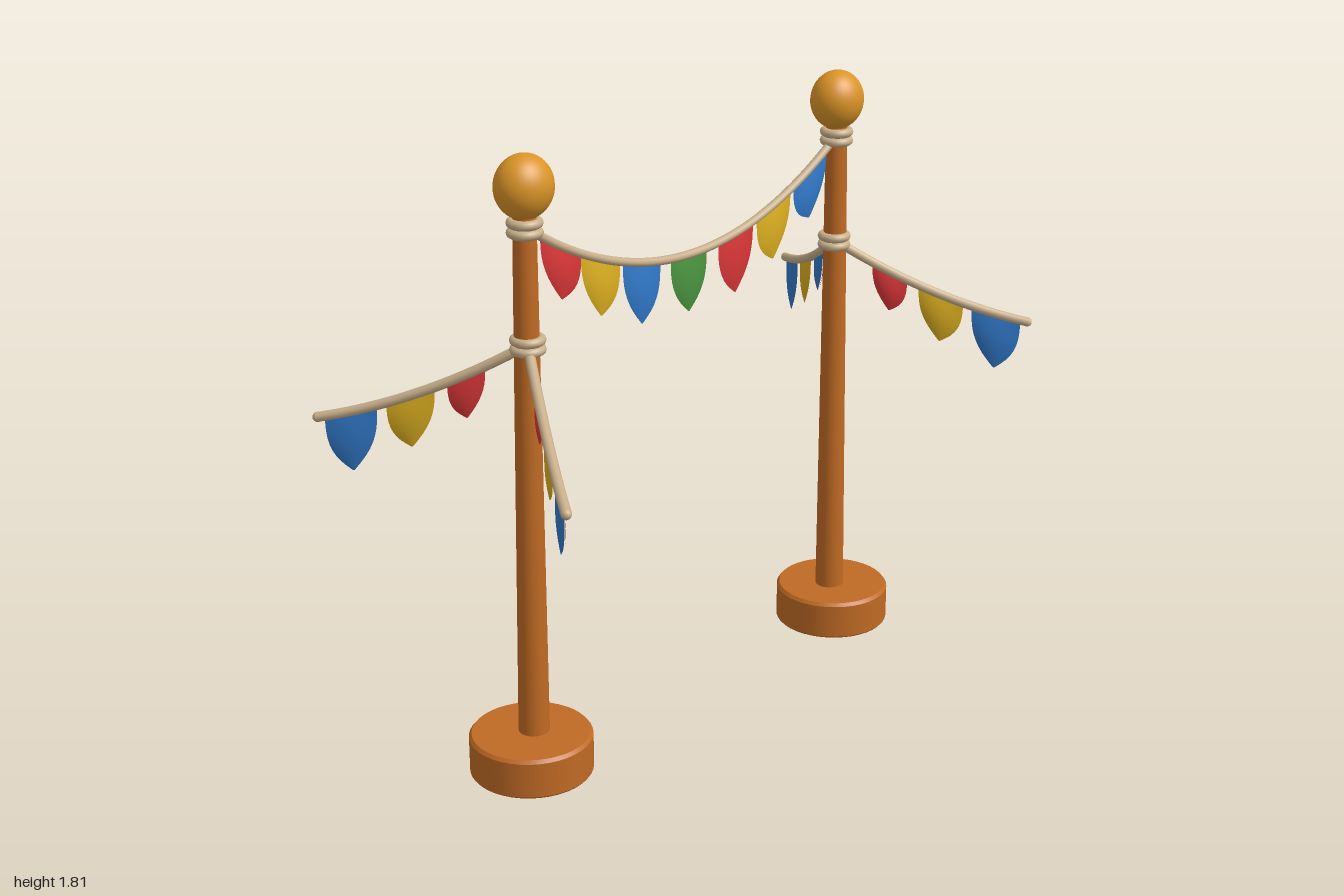
import * as THREE from 'three';

const mat = (name, color) => {
  const m = new THREE.MeshStandardMaterial({ color });
  m.name = name;
  return m;
};

export function createModel() {
  const wood = mat('wood', 0xc06a24);
  const gold = mat('gold', 0xdb9427);
  const cord = mat('cord', 0xc9b08c);
  const R = mat('red', 0xd93638);
  const Y = mat('yellow', 0xdbae20);
  const B = mat('blue', 0x3178c8);
  const G = mat('green', 0x4a9440);

  const model = new THREE.Group();
  model.name = 'buntingPosts';
  const CX = -0.003; // posts sit a touch off centre
  const POST = 0.646;

  const add = (parent, name, geo, material, x = 0, y = 0, z = 0) => {
    const m = new THREE.Mesh(geo, material);
    m.name = name;
    m.position.set(x, y, z);
    parent.add(m);
    return m;
  };

  // Rope along a curve function f(u), with rounded ends
  const addRope = (parent, f, radius) => {
    const pts = [];
    for (let i = 0; i <= 12; i++) pts.push(f(i / 12));
    const curve = new THREE.CatmullRomCurve3(pts);
    add(parent, 'rope', new THREE.TubeGeometry(curve, 40, radius, 10), cord);
    for (const p of [pts[0], pts[12]]) {
      add(parent, 'ropeEnd', new THREE.SphereGeometry(radius, 10, 8), cord, p.x, p.y, p.z);
    }
  };

  // One softly bulging face of a pennant hanging below f(u) between u0 and u1
  const pennantFace = (f, u0, u1, height, side) => {
    const dir = f(1).sub(f(0)).setY(0).normalize();
    const n = dir.clone().cross(new THREE.Vector3(0, 1, 0)).multiplyScalar(side);
    const N = 10, pos = [], idx = [];
    for (let r = 0; r <= N; r++) {
      const t = r / N;
      const w = Math.max(0.03, 1 - t ** 3);
      for (let c = 0; c <= N; c++) {
        const s = (c / N) * 2 - 1;
        const p = f((u0 + u1) / 2 + (s * w * (u1 - u0)) / 2);
        p.y -= t * height;
        p.addScaledVector(n, 0.0015 + 0.009 * (1 - s * s) * Math.sin(Math.PI * t));
        pos.push(p.x, p.y, p.z);
        if (r < N && c < N) {
          const a = r * (N + 1) + c, d = a + N + 1;
          if (side > 0) idx.push(a, d, d + 1, a, d + 1, a + 1);
          else idx.push(a, d + 1, d, a, a + 1, d + 1);
        }
      }
    }
    const g = new THREE.BufferGeometry();
    g.setAttribute('position', new THREE.Float32BufferAttribute(pos, 3));
    g.setIndex(idx);
    g.computeVertexNormals();
    return g;
  };

  const addPennant = (parent, f, u0, u1, height, front, back) => {
    const flag = new THREE.Group();
    flag.name = 'pennant';
    add(flag, 'pennantFront', pennantFace(f, u0, u1, height, 1), front);
    add(flag, 'pennantBack', pennantFace(f, u0, u1, height, -1), back);
    parent.add(flag);
  };

  // Posts: round foot, leaning tapered pole, cord bindings, ball finial
  const footProfile = [[0, 0], [0.174, 0], [0.178, 0.005], [0.178, 0.11], [0.17, 0.12], [0, 0.12]]
    .map(([x, y]) => new THREE.Vector2(x, y));
  const footGeo = new THREE.LatheGeometry(
    footProfile.flatMap((p, i) => (i > 0 && i < 5 ? [p, p.clone()] : [p])), 40);
  for (const s of [-1, 1]) {
    const post = new THREE.Group();
    post.name = s > 0 ? 'leftPost' : 'rightPost';
    add(post, 'foot', footGeo, wood, s * 0.674 + CX);

    const pole = new THREE.CylinderGeometry(0.032, 0.045, 1.56, 24);
    const p = pole.attributes.position;
    for (let i = 0; i < p.count; i++) {
      p.setX(i, p.getX(i) - (s * 0.016 * p.getY(i)) / 1.56);
    }
    add(post, 'pole', pole, wood, s * 0.654 + CX, 0.88, 0);

    for (const y of [1.597, 1.624, 1.27, 1.297]) {
      const ring = add(post, 'binding', new THREE.TorusGeometry(0.037, 0.0135, 10, 28), cord, s * POST + CX, y, 0);
      ring.rotation.x = Math.PI / 2;
    }
    const ball = add(post, 'finial', new THREE.SphereGeometry(1, 32, 24), gold, s * 0.645 + CX, 1.722, 0);
    ball.scale.set(0.086, 0.089, 0.077);
    model.add(post);
  }

  // Main bunting between the posts
  const main = new THREE.Group();
  main.name = 'mainBunting';
  const mainCurve = (u) => {
    const x = (u * 2 - 1) * 0.63;
    return new THREE.Vector3(x + CX, 1.388 + 0.53 * x * x, 0);
  };
  addRope(main, mainCurve, 0.0125);
  [
    [-0.52, 0.15, R], [-0.37, 0.165, Y], [-0.208, 0.18, B], [-0.014, 0.17, G],
    [0.187, 0.18, R], [0.355, 0.165, Y], [0.52, 0.15, B],
  ].forEach(([x, h, m]) => {
    const u = ((x - CX) / 0.63 + 1) / 2;
    addPennant(main, mainCurve, u - 0.06, u + 0.06, h, m, m);
  });
  model.add(main);

  // Four short buntings reaching outwards; colours run from post to tip
  const spans = [[0.2, 0.38, 0.125], [0.44, 0.67, 0.15], [0.715, 0.965, 0.175]];
  [
    [1, 1, [R, Y, B], [B, Y, R]],
    [1, -1, [R, Y, B], [B, Y, B]],
    [-1, 1, [R, Y, B], [B, Y, R]],
    [-1, -1, [B, Y, R], [R, Y, B]],
  ].forEach(([sx, sz, front, back]) => {
    const bunting = new THREE.Group();
    bunting.name = 'sideBunting';
    const x0 = sx * POST + CX;
    const f = (u) => new THREE.Vector3(
      x0 + (sx * 0.99 - x0) * u, 1.283 - 0.36 * u + 0.12 * u * u, sz * 0.488 * u);
    addRope(bunting, f, 0.0145);
    spans.forEach(([u0, u1, h], i) => addPennant(bunting, f, u0, u1, h, front[i], back[i]));
    model.add(bunting);
  });

  return model;
}
